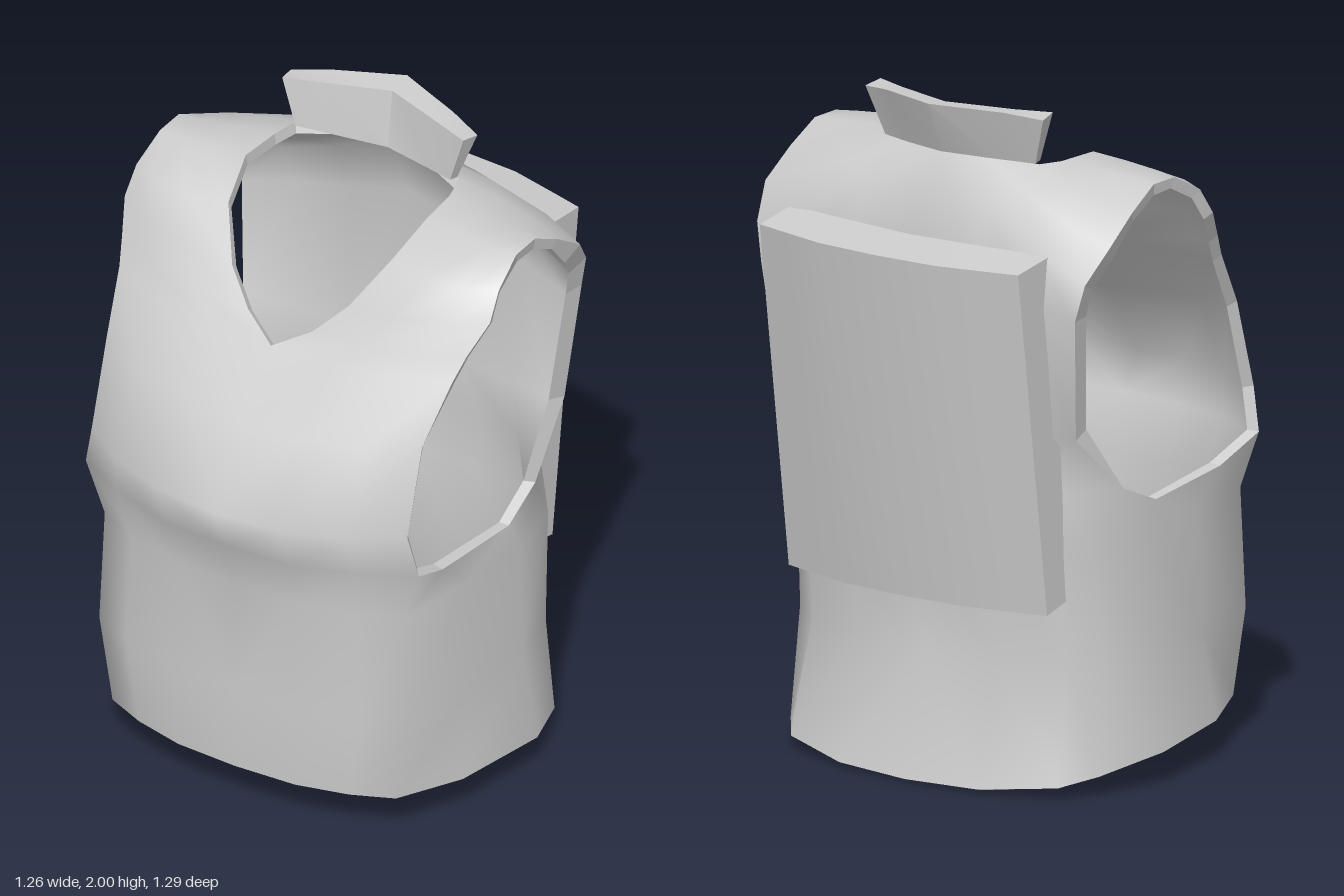
import * as THREE from 'three';
import { mergeVertices, toCreasedNormals } from 'three/addons/utils/BufferGeometryUtils.js';

const grey = new THREE.MeshStandardMaterial({ color: 0xcccccc });
grey.name = 'grey fabric';

const { lerp } = THREE.MathUtils;
const mirror = ([x, y, z]) => [-x, y, z];

function geometryFrom(triangles) {
  const g = new THREE.BufferGeometry();
  g.setAttribute('position', new THREE.Float32BufferAttribute(triangles.flat(2), 3));
  return g;
}

// Triangles of a grid of points and of its mirror image
function gridBothSides(rows) {
  const out = [];
  for (let r = 0; r + 1 < rows.length; r++) {
    for (let c = 0; c + 1 < rows[r].length; c++) {
      const a = rows[r][c], b = rows[r][c + 1], d = rows[r + 1][c + 1], e = rows[r + 1][c];
      for (const [p, q, s] of [[a, b, d], [a, d, e]]) {
        out.push([p, q, s], [mirror(p), mirror(s), mirror(q)]);
      }
    }
  }
  return out;
}

// Gives an open surface thickness: outside, lining and a rim along every open edge
function thicken(surface, thickness) {
  const g = mergeVertices(surface, 1e-4);
  g.computeVertexNormals();
  const pos = g.attributes.position, nor = g.attributes.normal, idx = g.index.array;
  const P = [], N = [], edges = new Set();
  const outer = (i) => new THREE.Vector3().fromBufferAttribute(pos, i);
  const normal = (i) => new THREE.Vector3().fromBufferAttribute(nor, i);
  const inner = (i) => outer(i).addScaledVector(normal(i), -thickness(outer(i)));
  const add = (p, n) => { P.push(p.x, p.y, p.z); N.push(n.x, n.y, n.z); };
  for (let i = 0; i < idx.length; i += 3) {
    const f = [idx[i], idx[i + 1], idx[i + 2]];
    f.forEach((v) => add(outer(v), normal(v)));
    [f[0], f[2], f[1]].forEach((v) => add(inner(v), normal(v).negate()));
    f.forEach((v, k) => edges.add(v + '_' + f[(k + 1) % 3]));
  }
  for (const e of edges) {
    const [a, b] = e.split('_').map(Number);
    if (edges.has(b + '_' + a)) continue;
    const A = outer(a), B = outer(b), C = inner(b), D = inner(a);
    const n = D.clone().sub(A).cross(B.clone().sub(A)).normalize();
    [A, D, C, A, C, B].forEach((p) => add(p, n));
  }
  const out = new THREE.BufferGeometry();
  out.setAttribute('position', new THREE.Float32BufferAttribute(P, 3));
  out.setAttribute('normal', new THREE.Float32BufferAttribute(N, 3));
  return out;
}

// Closed band through cross-sections given from the centre outwards, mirrored in x
function band(half) {
  const st = [...half.slice(1).reverse().map((s) => s.map(mirror)), ...half];
  const out = [], n = st[0].length, last = st[st.length - 1], first = st[0];
  for (let i = 0; i + 1 < st.length; i++) {
    for (let k = 0; k < n; k++) {
      const a = st[i][k], b = st[i][(k + 1) % n], c = st[i + 1][(k + 1) % n], d = st[i + 1][k];
      out.push([a, b, c], [a, c, d]);
    }
  }
  for (let k = 1; k + 1 < n; k++) {
    out.push([last[0], last[k], last[k + 1]], [first[0], first[k + 1], first[k]]);
  }
  return toCreasedNormals(geometryFrom(out), 0.6);
}

// Ring of the lower body: a shared half outline scaled to the ring's width and depth
const outlineX = [0, .21, .4, .535, .575, .6, .555, .46, .25, 0];
const outlineZ = [1, .99, .91, .79, .3, -.2, -.68, -.84, -.97, -1];
function bodyRing(yFront, yBack, zFront, zBack, width) {
  return outlineX.map((x, i) => {
    const f = outlineZ[i], t = (1 - f) / 2;
    return [x * width, lerp(yFront, yBack, t * t), f > 0 ? f * zFront : -f * zBack];
  });
}

// Row of the strap from neck or centre to armhole, bulging in z between its ends
function strapRow(a, b, bulge) {
  return [0, .37, .73, 1].map((t) => a.map((v, k) =>
    lerp(v, b[k], t) + (k === 2 && t % 1 ? bulge : 0)));
}

export function createModel() {
  const model = new THREE.Group();
  model.name = 'vest';
  const add = (name, geometry) => {
    const mesh = new THREE.Mesh(geometry, grey);
    mesh.name = name;
    model.add(mesh);
  };

  // Lower body, from front centre round the side to back centre
  const hem = [[0, .13, .535], [.2, .13, .525], [.36, .13, .485], [.485, .13, .43], [.58, .115, .22],
    [.63, .1, -.1], [.555, .06, -.31], [.48, .035, -.41], [.25, .01, -.485], [0, .005, -.505]];
  const underarm = [[0, .92, .59], [.22, .92, .58], [.42, .93, .52], [.57, .93, .44], [.55, .86, .28],
    [.565, .835, -.05], [.56, .9, -.2], [.47, .9, -.36], [.25, .9, -.43], [0, .9, -.45]];
  const lower = [
    hem,
    bodyRing(.4, .38, .545, -.4, .99),
    bodyRing(.76, .72, .535, -.45, .965),
    underarm,
  ];

  // Strap from the chest over the shoulder and down the back
  const strap = [
    underarm.slice(0, 4),
    strapRow([0, 1.06, .645], [.54, 1.06, .455], .05),
    strapRow([0, 1.28, .5], [.54, 1.33, .375], .035),
    strapRow([0, 1.47, .34], [.57, 1.5, .26], .035),
    strapRow([.11, 1.53, .29], [.59, 1.57, .215], .035),
    strapRow([.2, 1.62, .235], [.625, 1.66, .145], .035),
    strapRow([.28, 1.75, .13], [.62, 1.74, .09], .04),
    strapRow([.31, 1.825, -.01], [.61, 1.8, -.02], .01),
    strapRow([.3, 1.825, -.15], [.61, 1.8, -.12], 0),
    strapRow([.28, 1.83, -.23], [.615, 1.74, -.23], -.02),
    strapRow([.15, 1.84, -.29], [.62, 1.66, -.345], -.035),
    strapRow([0, 1.845, -.33], [.59, 1.56, -.425], -.045),
    strapRow([0, 1.6, -.475], [.565, 1.45, -.44], -.016),
    strapRow([0, 1.08, -.465], [.535, 1.08, -.395], -.014),
    underarm.slice(6).reverse(),
  ];
  // The upper back is padded thicker than the rest
  const padding = (p) => (p.z < -.34 && p.y > 1 ? .07 : .035);
  add('vest body', thicken(geometryFrom([...gridBothSides(lower), ...gridBothSides(strap)]), padding));

  // Back pack: sections run top outer, top inner, bottom inner, bottom outer
  const packSection = (x, zOut, zIn) =>
    [[x, 1.605, zOut], [x, 1.63, zIn], [x, .58, zIn + .07], [x, .555, zOut + .14]];
  add('back pack', band([
    packSection(0, -.65, -.48), packSection(.21, -.64, -.462),
    packSection(.37, -.603, -.445), packSection(.465, -.58, -.415),
  ]));

  // Stand-up collar behind the neck
  add('collar', band([
    [[0, 2, -.39], [0, 1.99, -.31], [0, 1.81, -.285], [0, 1.81, -.31]],
    [[.21, 1.99, -.31], [.2, 1.985, -.245], [.17, 1.825, -.235], [.17, 1.82, -.262]],
    [[.32, 1.975, -.265], [.31, 1.985, -.205], [.265, 1.835, -.205], [.27, 1.83, -.235]],
  ]));
  return model;
}
